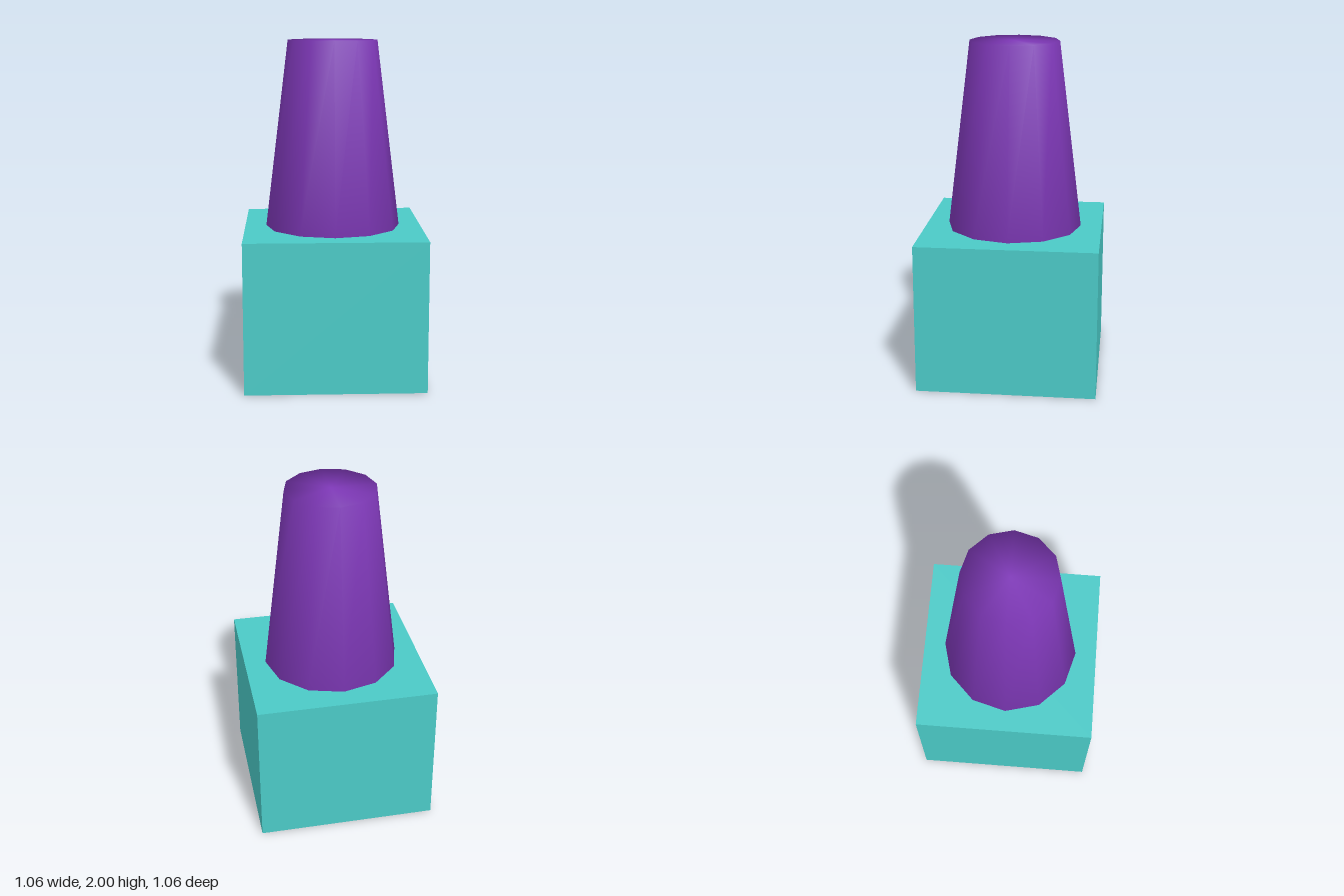
import * as THREE from 'three';
import { mergeVertices } from 'three/addons/utils/BufferGeometryUtils.js';

export function createModel() {
  const model = new THREE.Group();

  const teal = new THREE.MeshStandardMaterial({ color: 0x4bcac7 });
  teal.name = 'teal';
  const purple = new THREE.MeshStandardMaterial({ color: 0x8039ba });
  purple.name = 'purple';

  // Square block
  const baseHeight = 0.89;
  const base = new THREE.Mesh(new THREE.BoxGeometry(1.056, baseHeight, 1.056), teal);
  base.name = 'base';
  base.position.y = baseHeight / 2;
  model.add(base);

  // Tapered twelve-sided column; welding the caps shades smoothly over the rims
  const columnHeight = 2 - baseHeight;
  let shape = new THREE.CylinderGeometry(0.265, 0.402, columnHeight, 12);
  shape.deleteAttribute('normal');
  shape.deleteAttribute('uv');
  shape = mergeVertices(shape);
  shape.computeVertexNormals();
  const column = new THREE.Mesh(shape, purple);
  column.name = 'column';
  column.position.y = baseHeight + columnHeight / 2;
  model.add(column);

  return model;
}
